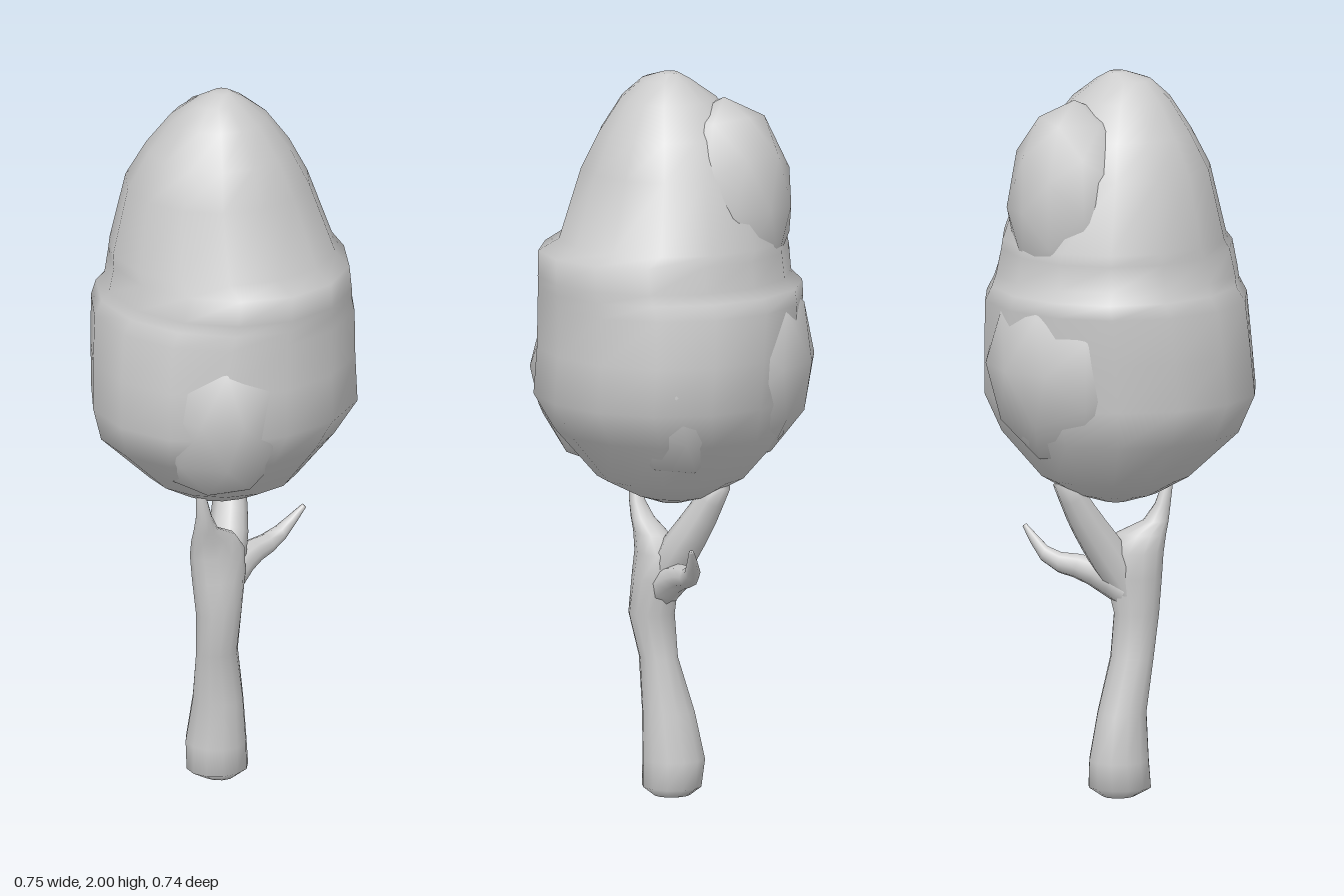
import * as THREE from 'three';
import { mergeVertices } from 'three/addons/utils/BufferGeometryUtils.js';

const material = new THREE.MeshStandardMaterial({ color: 0xcccccc, roughness: 0.9 });

// Share vertices so that the normals come out smooth
function smooth(geo) {
  geo.deleteAttribute('uv');
  geo.deleteAttribute('normal');
  const merged = mergeVertices(geo, 1e-5);
  merged.computeVertexNormals();
  return merged;
}

// Closed skin over horizontal oval rings, bottom to top: [y, xMin, xMax, zMin, zMax]
function loft(rings, sides) {
  const pos = [], index = [];
  for (const [y, x0, x1, z0, z1] of rings) {
    for (let i = 0; i < sides; i++) {
      const a = (i / sides) * Math.PI * 2;
      pos.push((x0 + x1) / 2 + (x1 - x0) / 2 * Math.cos(a), y, (z0 + z1) / 2 + (z1 - z0) / 2 * Math.sin(a));
    }
  }
  for (let r = 0; r < rings.length - 1; r++) {
    for (let i = 0; i < sides; i++) {
      const a = r * sides + i, b = r * sides + (i + 1) % sides;
      index.push(a, a + sides, b, b, a + sides, b + sides);
    }
  }
  // Fans closing both ends
  const top = (rings.length - 1) * sides;
  for (let i = 1; i < sides - 1; i++) {
    index.push(0, i, i + 1, top, top + i + 1, top + i);
  }
  const geo = new THREE.BufferGeometry();
  geo.setAttribute('position', new THREE.Float32BufferAttribute(pos, 3));
  geo.setIndex(index);
  geo.computeVertexNormals();
  return geo;
}

// Tapered limb along a curve; the last section is pinched shut to cap it
function limb(points, radii) {
  const path = new THREE.CatmullRomCurve3(points.map(p => new THREE.Vector3(...p)));
  const steps = 8, sides = 8;
  const geo = new THREE.TubeGeometry(path, steps, 1, sides);
  const pos = geo.attributes.position, v = new THREE.Vector3();
  for (let i = 0; i < pos.count; i++) {
    const row = Math.floor(i / (sides + 1));
    const t = Math.min(row / (steps - 1), 1);
    const k = Math.min(Math.floor(t * (radii.length - 1)), radii.length - 2);
    const r = row === steps ? 0.001 : THREE.MathUtils.lerp(radii[k], radii[k + 1], t * (radii.length - 1) - k);
    v.fromBufferAttribute(pos, i).sub(path.getPointAt(row / steps)).multiplyScalar(r).add(path.getPointAt(t));
    pos.setXYZ(i, v.x, v.y, v.z);
  }
  return smooth(geo);
}

// Low-poly rounded lump of foliage
function lump(center, size, turn) {
  return smooth(new THREE.IcosahedronGeometry(1, 1).rotateY(turn).scale(...size).translate(...center));
}

export function createModel() {
  const tree = new THREE.Group();
  tree.name = 'tree';
  const add = (name, geo) => {
    const mesh = new THREE.Mesh(geo, material);
    mesh.name = name;
    tree.add(mesh);
  };

  // Leaning trunk, running on into the left-hand fork
  add('trunk', loft([
    [0.0, -0.05, 0.04, -0.06, 0.04],
    [0.025, -0.095, 0.08, -0.09, 0.072],
    [0.1, -0.09, 0.076, -0.102, 0.072],
    [0.23, -0.08, 0.056, -0.075, 0.072],
    [0.38, -0.095, 0.026, -0.033, 0.072],
    [0.5, -0.106, 0.02, -0.028, 0.1],
    [0.6, -0.116, 0.045, -0.035, 0.09],
    [0.67, -0.122, 0.05, -0.035, 0.08],
    [0.72, -0.127, 0.01, -0.015, 0.077],
    [0.755, -0.131, -0.06, 0.01, 0.075],
    [0.8, -0.134, -0.09, 0.03, 0.075],
    [0.88, -0.142, -0.118, 0.045, 0.07],
  ], 12));
  add('rightFork', limb(
    [[-0.03, 0.56, 0.02], [0.03, 0.67, -0.01], [0.08, 0.77, -0.055], [0.125, 0.88, -0.1]],
    [0.05, 0.057, 0.047, 0.033]));
  add('twig', limb(
    [[-0.02, 0.57, 0.02], [0.09, 0.62, 0.005], [0.19, 0.643, 0.005], [0.27, 0.725, 0.035]],
    [0.055, 0.038, 0.025, 0.007]));

  // Egg-shaped crown, with a swollen lower half ending in a ledge
  add('crown', loft([
    [0.815, -0.03, 0.04, -0.04, 0.03],
    [0.84, -0.11, 0.13, -0.11, 0.1],
    [0.89, -0.2, 0.21, -0.21, 0.2],
    [1.02, -0.34, 0.32, -0.328, 0.31],
    [1.12, -0.38, 0.375, -0.342, 0.37],
    [1.25, -0.37, 0.372, -0.354, 0.362],
    [1.38, -0.357, 0.367, -0.364, 0.362],
    [1.42, -0.332, 0.347, -0.362, 0.364],
    [1.45, -0.324, 0.34, -0.33, 0.365],
    [1.52, -0.308, 0.325, -0.325, 0.365],
    [1.55, -0.3, 0.317, -0.318, 0.305],
    [1.74, -0.258, 0.25, -0.265, 0.24],
    [1.84, -0.205, 0.195, -0.205, 0.19],
    [1.93, -0.145, 0.125, -0.13, 0.13],
    [1.98, -0.09, 0.06, -0.06, 0.07],
    [2.0, -0.025, 0.025, -0.025, 0.025],
  ], 14));

  // Broad lumps breaking the outline of the crown
  add('upperBackLump', lump([0.09, 1.65, -0.125], [0.185, 0.29, 0.19], 0.4));
  add('lowerBackLump', lump([0.08, 1.22, -0.13], [0.25, 0.3, 0.25], 0.9));
  add('leftLump', lump([0.14, 1.17, 0.04], [0.225, 0.27, 0.2], 0.2));
  add('rightLump', lump([-0.13, 1.17, 0.12], [0.205, 0.28, 0.225], 0.6));
  return tree;
}
